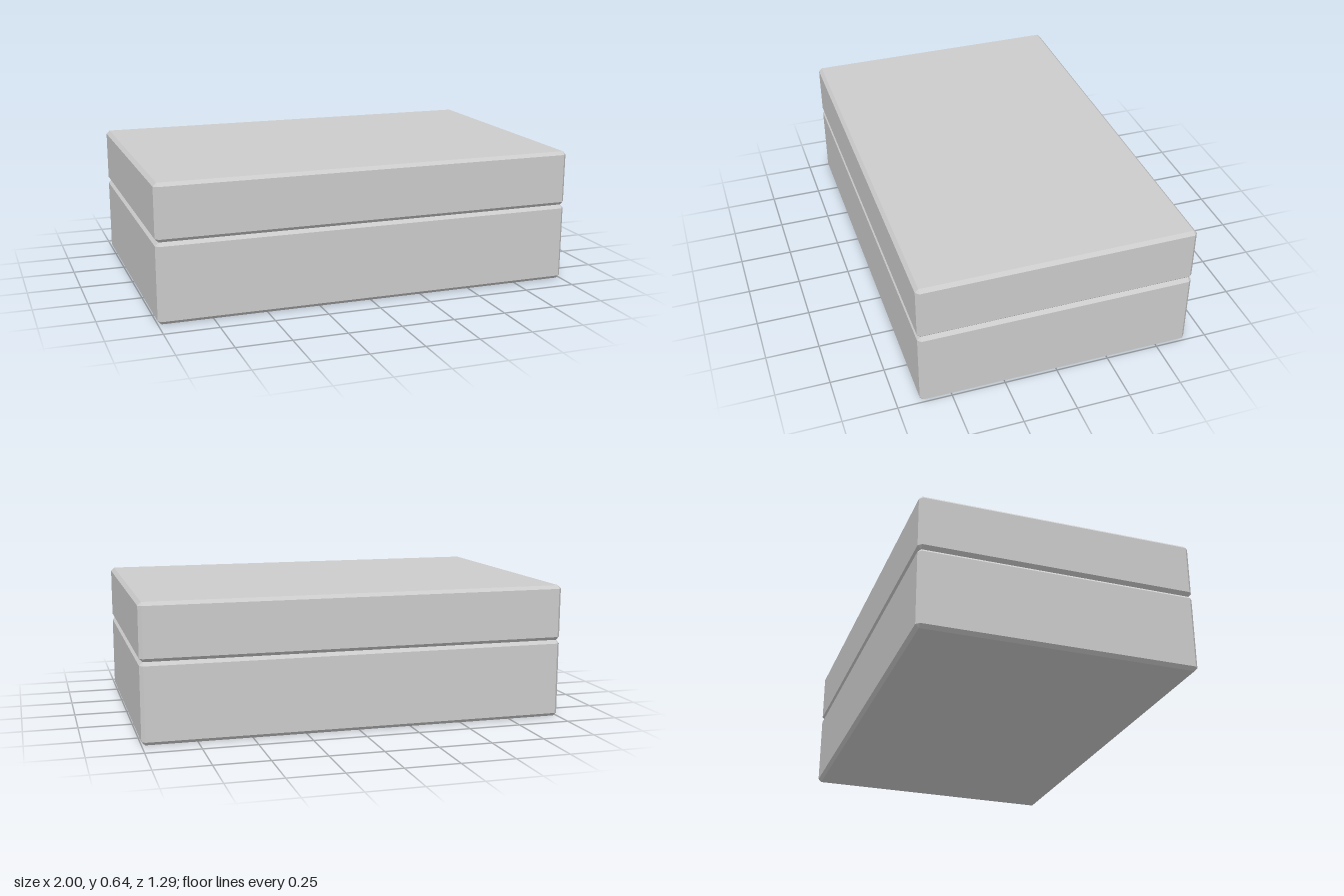
import * as THREE from 'three';
import { ConvexGeometry } from 'three/addons/geometries/ConvexGeometry.js';

const WIDTH = 2, DEPTH = 1.29, BEVEL = 0.016;

// Box with every edge cut by a flat bevel and a small triangle at each corner
function bevelledBox(name, bottom, top, material) {
  const half = [WIDTH / 2, (top - bottom) / 2, DEPTH / 2];
  const points = [];
  for (const sx of [-1, 1]) for (const sy of [-1, 1]) for (const sz of [-1, 1]) {
    for (let axis = 0; axis < 3; axis++) {
      // the point touches the face on this axis and is inset on the other two
      const [x, y, z] = half.map((h, i) => (i === axis ? h : h - BEVEL));
      points.push(new THREE.Vector3(sx * x, sy * y, sz * z));
    }
  }
  const mesh = new THREE.Mesh(new ConvexGeometry(points), material);
  mesh.name = name;
  mesh.position.y = (bottom + top) / 2;
  return mesh;
}

export function createModel() {
  const material = new THREE.MeshStandardMaterial({ color: 0xcccccc, flatShading: true });
  const box = new THREE.Group();
  box.name = 'lidded box';
  // Deep base with a shallower lid; their bevels form the seam groove
  box.add(bevelledBox('base', 0, 0.373, material));
  box.add(bevelledBox('lid', 0.373, 0.637, material));
  return box;
}
